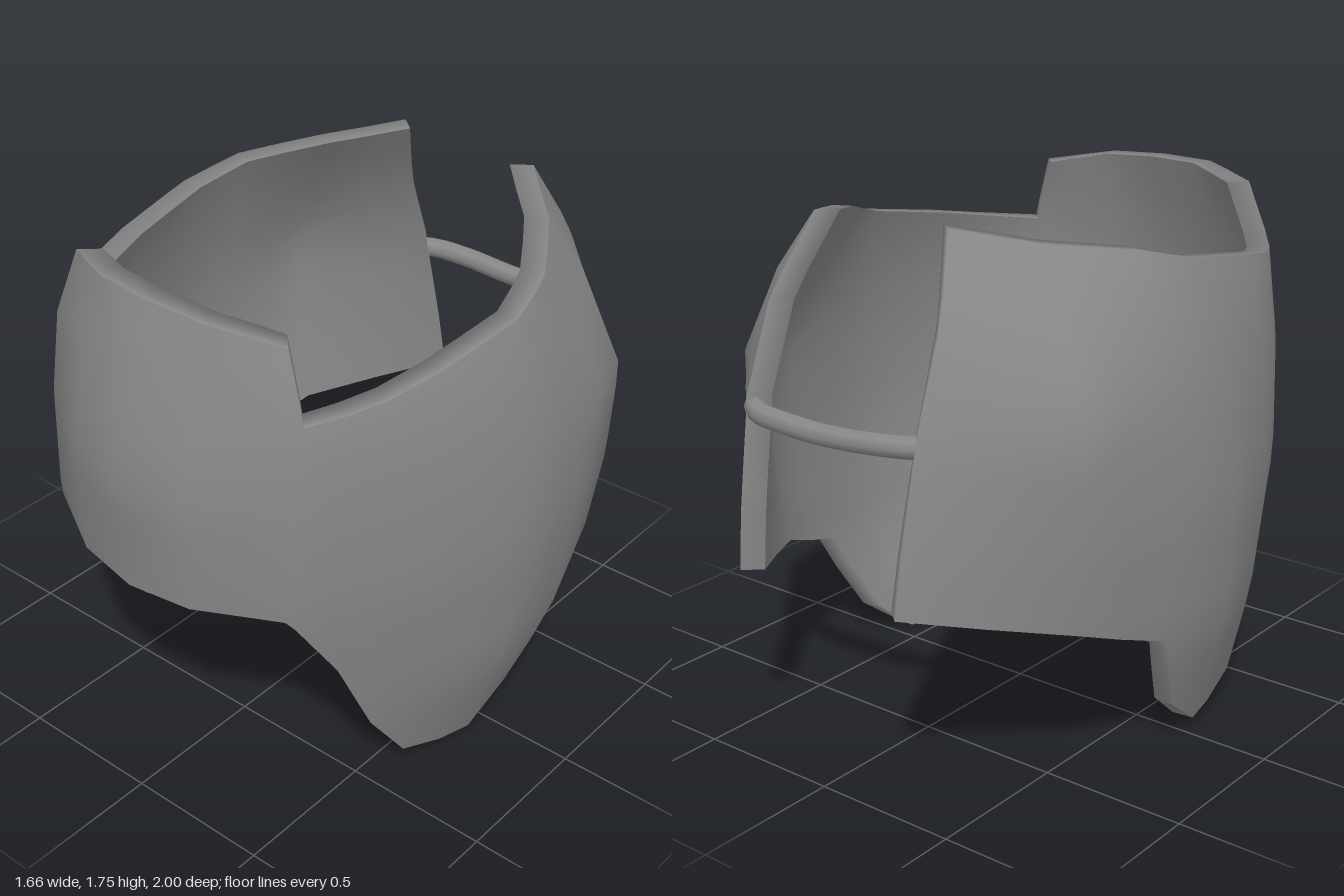
import * as THREE from 'three';

const THICKNESS = 0.078;
const END = 8; // last station, at the back opening

// Half cross-sections [x, z] at rising heights, from front centre round to the back opening
const RINGS = [
  { y: 0, p: [[0, 0.9], [0.2, 0.86], [0.41, 0.71], [0.53, 0.51], [0.61, 0.33], [0.67, 0.05], [0.64, -0.2], [0.56, -0.47], [0.3, -0.95]] },
  { y: 0.4, p: [[0, 0.95], [0.22, 0.9], [0.455, 0.76], [0.595, 0.55], [0.71, 0.35], [0.8, 0.05], [0.765, -0.25], [0.65, -0.56], [0.32, -1.03]] },
  { y: 0.85, p: [[0, 0.97], [0.23, 0.94], [0.5, 0.8], [0.655, 0.57], [0.76, 0.35], [0.837, 0.03], [0.805, -0.27], [0.71, -0.57], [0.34, -0.965]] },
  { y: 1.2, p: [[0, 1.0], [0.24, 0.95], [0.51, 0.79], [0.65, 0.57], [0.745, 0.34], [0.81, 0.02], [0.79, -0.26], [0.72, -0.575], [0.355, -0.895]] },
  { y: 1.5, p: [[0, 0.93], [0.23, 0.89], [0.495, 0.76], [0.615, 0.56], [0.695, 0.31], [0.742, 0], [0.71, -0.24], [0.59, -0.52], [0.35, -0.775]] },
  { y: 1.75, p: [[0, 0.84], [0.22, 0.82], [0.42, 0.71], [0.52, 0.51], [0.585, 0.29], [0.642, -0.02], [0.6, -0.18], [0.44, -0.43], [0.27, -0.64]] },
];

// Edge heights [station, y]
const LOWER_EDGE = [[0, 0.79], [1, 0.8], [2, 0.81], [2.12, 0.77], [2.65, 0.56], [3.2, 0.272], [3.9, 0.073], [4.5, 0.024], [4.95, 0.015],
  [5.54, 0.133], [5.8, 0.293], [5.97, 0.433], [6.5, 0.485], [7, 0.54], [7.5, 0.595], [8, 0.65]];
const UPPER_EDGE = [[0, 1.48], [2.12, 1.48], [3, 1.505], [4, 1.55], [5, 1.6], [6, 1.65], [7, 1.69], [8, 1.745]];
const COLLAR_EDGE = [[0, 1.74], [1, 1.735], [2, 1.7]];

const mix = THREE.MathUtils.lerp;

function heightAt(edge, u) {
  for (let i = 1; i < edge.length; i++) {
    const [u0, y0] = edge[i - 1], [u1, y1] = edge[i];
    if (u <= u1) return mix(y0, y1, (u - u0) / (u1 - u0));
  }
  return edge[edge.length - 1][1];
}

// Point of the outer surface; negative stations are the mirrored half
function surface(u, y) {
  const a = Math.min(Math.abs(u), END), s = Math.min(Math.floor(a), END - 1);
  const h = THREE.MathUtils.clamp(y, 0, 1.75);
  let k = 0;
  while (k < RINGS.length - 2 && h > RINGS[k + 1].y) k++;
  const lo = RINGS[k], hi = RINGS[k + 1], t = (h - lo.y) / (hi.y - lo.y);
  const at = (ring, c) => mix(ring.p[s][c], ring.p[s + 1][c], a - s);
  return new THREE.Vector3(Math.sign(u) * mix(at(lo, 0), at(hi, 0), t), h, mix(at(lo, 1), at(hi, 1), t));
}

function surfaceNormal(u, y) {
  const du = surface(u + 0.5, y).sub(surface(u - 0.5, y));
  const dy = surface(u, y + 0.15).sub(surface(u, y - 0.15));
  return du.cross(dy).normalize();
}

// Thick curved plate; each column runs from (u0, y0) to (u1, y1)
function plate(columns, rows) {
  const pos = [], nor = [];
  const grid = columns.map(([u0, y0, u1, y1]) => Array.from({ length: rows + 1 }, (_, j) => {
    const u = mix(u0, u1, j / rows), y = mix(y0, y1, j / rows);
    const n = surfaceNormal(u, y), out = surface(u, y);
    const inward = new THREE.Vector3(n.x, 0, n.z).setLength(THICKNESS);
    return { out, inn: out.clone().sub(inward), n, back: n.clone().negate() };
  }));
  const quad = (p, n) => [0, 1, 2, 0, 2, 3].forEach((i) => {
    pos.push(...p[i].toArray());
    nor.push(...n[i].toArray());
  });
  // Rim strip between outer and inner skins, shaded as a rounded edge
  const rim = (a, b) => {
    const p = [a.out, b.out, b.inn, a.inn];
    const n = p[2].clone().sub(p[0]).cross(p[3].clone().sub(p[1])).normalize();
    quad(p, [a.n, b.n, b.back, a.back].map((side) => side.clone().add(n).normalize()));
  };
  const last = columns.length - 1;
  for (let i = 0; i < last; i++) {
    for (let j = 0; j < rows; j++) {
      const c = [grid[i][j], grid[i + 1][j], grid[i + 1][j + 1], grid[i][j + 1]];
      quad(c.map((v) => v.out), c.map((v) => v.n));
      c.reverse();
      quad(c.map((v) => v.inn), c.map((v) => v.back));
    }
    rim(grid[i][rows], grid[i + 1][rows]);
    rim(grid[i + 1][0], grid[i][0]);
  }
  for (let j = 0; j < rows; j++) {
    rim(grid[last][j + 1], grid[last][j]);
    rim(grid[0][j], grid[0][j + 1]);
  }
  const geo = new THREE.BufferGeometry();
  geo.setAttribute('position', new THREE.Float32BufferAttribute(pos, 3));
  geo.setAttribute('normal', new THREE.Float32BufferAttribute(nor, 3));
  return geo;
}

// Mirror a list of half stations to run from one end to the other
const bothSides = (list) => [...list.filter((u) => u > 0).reverse().map((u) => -u), ...list];

export function createModel() {
  const group = new THREE.Group();
  const grey = new THREE.MeshStandardMaterial({ color: 0x888888 });
  grey.name = 'grey';

  // The whole piece sits slightly rolled and turned
  const body = new THREE.Group();
  body.name = 'body';
  body.rotation.set(0, -0.02, -0.022);
  body.position.x = -0.02;
  group.add(body);

  const add = (name, geometry) => {
    const mesh = new THREE.Mesh(geometry, grey);
    mesh.name = name;
    body.add(mesh);
  };

  // Main wrap with the two long side flaps
  add('wrapShell', plate(bothSides(LOWER_EDGE.map(([u]) => u)).map((u) => {
    const a = Math.abs(u);
    return [u, heightAt(LOWER_EDGE, a), u, heightAt(UPPER_EDGE, a)];
  }), 12));

  // Raised front section above the step
  add('frontCollar', plate(bothSides([0, 0.5, 1, 1.5, 2, 2.12]).map((u) => {
    const top = u * 2 / 2.12;
    return [u, 1.48, top, heightAt(COLLAR_EDGE, Math.abs(top))];
  }), 4));

  // Strap across the back opening
  const path = new THREE.CatmullRomCurve3([
    [-0.35, 1.15, -0.86], [-0.29, 1.15, -0.89], [-0.15, 1.145, -0.915], [0, 1.14, -0.92],
    [0.15, 1.145, -0.92], [0.3, 1.15, -0.9], [0.36, 1.155, -0.86],
  ].map((p) => new THREE.Vector3(...p)));
  add('backStrap', new THREE.TubeGeometry(path, 16, 0.036, 8));

  return group;
}
